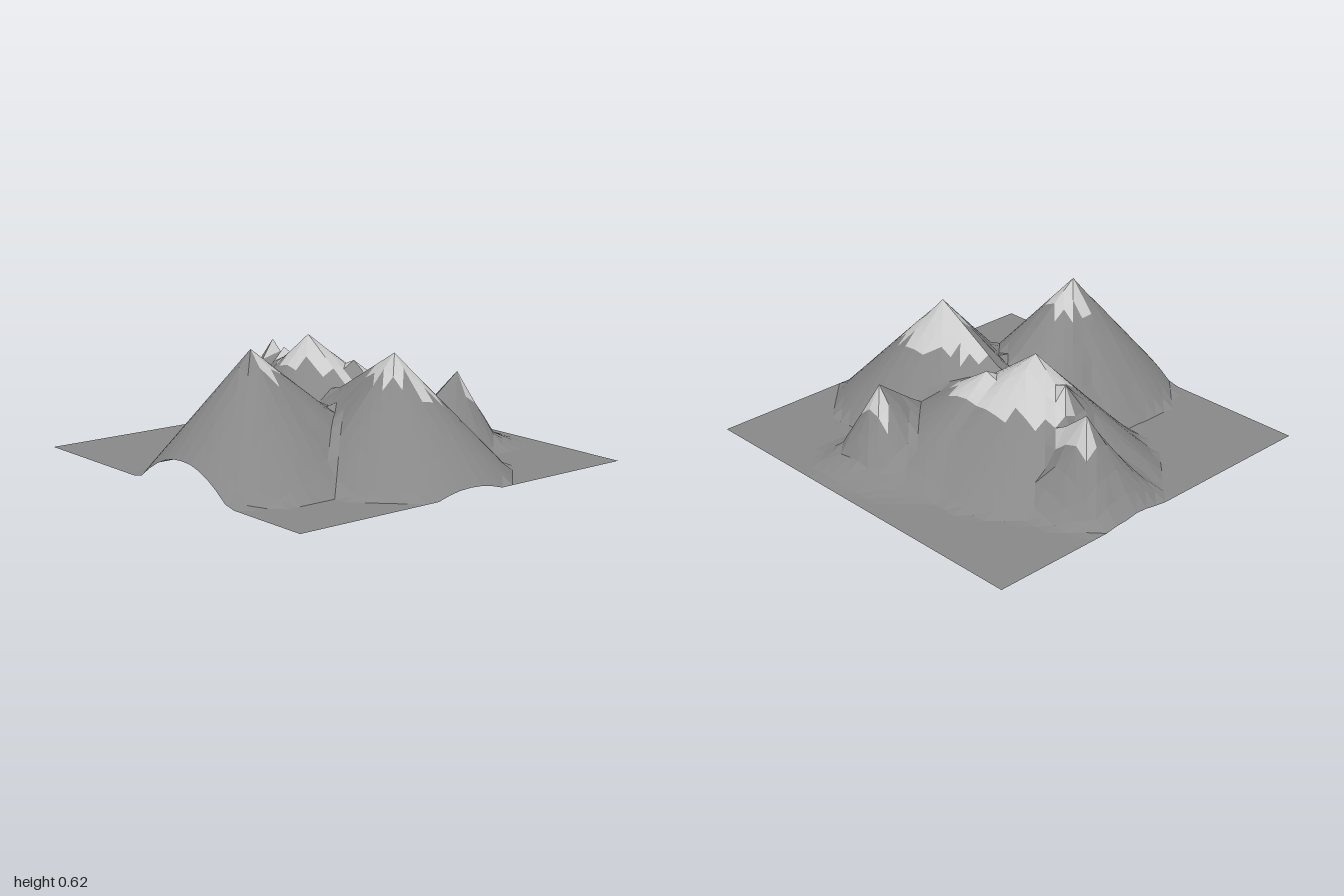
import * as THREE from 'three';

const N = 30;           // grid cells per side
const DEPTH = 0.993;    // half depth of the ground sheet

// A peak has a position, height, steepness curve, snow line, and foot radii
// in evenly spaced directions, turning from +x towards +z.
const peak = (x, z, h, p, snow, r) => ({ x: snap(x), z: snap(z) * DEPTH, h, p, snow, r });

// Summits sit on grid points so they stay sharp
const snap = v => Math.round(v * N / 2) / (N / 2);

const frontMountain = peak(0.13, 0.6, 0.62, 1, 0.52,
  [0.53, 0.53, 0.53, 0.52, 0.53, 0.53, 0.53, 0.58, 0.82, 0.82, 0.7, 0.55]);
const eastMountain = peak(0.46, 0, 0.58, 1, 0.41,
  [0.565, 0.57, 0.55, 0.54, 0.5, 0.6, 1.0, 0.68, 0.56, 0.54, 0.56, 0.57]);
const centralMountain = peak(-0.27, -0.07, 0.56, 1.05, 0.36,
  [0.8, 0.6, 0.54, 0.54, 0.56, 0.64, 0.64, 0.61, 0.62, 0.65, 0.74, 0.76]);
const shoulder = peak(-0.47, -0.1, 0.465, 1.1, 0.36,
  [1.5, 0.6, 0.5, 0.5, 0.42, 0.3, 0.24, 0.35, 0.48, 0.5, 0.5, 0.6]);
const saddle = peak(-0.04, -0.2, 0.44, 1.05, 0.35,
  [0.7, 0.4, 0.45, 0.6, 0.55, 0.6]);
const westPeak = peak(-0.73, -0.2, 0.455, 1.4, 0.33,
  [0.75, 0.38, 0.38, 0.4, 0.4, 0.34, 0.29, 0.3, 0.28, 0.3, 0.36, 0.38]);
const westFoot = peak(-0.73, -0.13, 0.12, 1.2, Infinity,
  [0.3, 0.42, 0.36, 0.27, 0.28, 0.38]);
const rearPeak = peak(0.27, -0.6, 0.385, 1.05, 0.28,
  [0.22, 0.24, 0.3, 0.54, 0.36, 0.34, 0.32, 0.3, 0.27, 0.24, 0.24, 0.22]);
const rearFoot = peak(0.27, -0.6, 0.17, 1.4, Infinity,
  [0.22, 0.45, 0.6, 0.6, 0.4, 0.36]);

const peaks = [frontMountain, eastMountain, centralMountain, shoulder, saddle,
  westPeak, westFoot, rearPeak, rearFoot];

// Height of one cone-like peak, its foot radius blended between directions
function peakHeight({ x: px, z: pz, h, p, r }, x, z) {
  const dx = x - px, dz = z - pz;
  const turn = (Math.atan2(dz, dx) / (Math.PI * 2) + 1) * r.length;
  const i = Math.floor(turn);
  const foot = THREE.MathUtils.lerp(r[i % r.length], r[(i + 1) % r.length], turn - i);
  const t = Math.hypot(dx, dz) / foot;
  return t >= 1 ? 0 : h * Math.pow(1 - t, p);
}

// The terrain is the highest peak at every point
function terrain(x, z) {
  let y = 0, top = null;
  for (const k of peaks) {
    const h = peakHeight(k, x, z);
    if (h > y) { y = h; top = k; }
  }
  return { y, top };
}

export function createModel() {
  const group = new THREE.Group();
  group.name = 'mountainRange';

  // Sample the ground sheet
  const points = [];
  for (let j = 0; j <= N; j++) {
    for (let i = 0; i <= N; i++) {
      const x = (i / N) * 2 - 1, z = ((j / N) * 2 - 1) * DEPTH;
      points.push(new THREE.Vector3(x, terrain(x, z).y, z));
    }
  }

  // Sort triangles into rock and snow; snow reaches lower on rear slopes
  const rock = [], snow = [];
  const addTriangle = (a, b, c) => {
    const x = (a.x + b.x + c.x) / 3, z = (a.z + b.z + c.z) / 3;
    const { y, top } = terrain(x, z);
    const snowy = top && y > top.snow + (z > top.z ? 0.06 : -0.03);
    const list = snowy ? snow : rock;
    for (const v of [a, b, c]) list.push(v.x, v.y, v.z);
  };

  // Split every cell along its truer diagonal so ridges stay crisp
  for (let j = 0; j < N; j++) {
    for (let i = 0; i < N; i++) {
      const n = j * (N + 1) + i;
      const a = points[n], b = points[n + 1];
      const c = points[n + N + 1], d = points[n + N + 2];
      const mid = terrain((a.x + d.x) / 2, (a.z + d.z) / 2).y;
      if (Math.abs((a.y + d.y) / 2 - mid) < Math.abs((b.y + c.y) / 2 - mid)) {
        addTriangle(a, c, d);
        addTriangle(a, d, b);
      } else {
        addTriangle(a, c, b);
        addTriangle(b, c, d);
      }
    }
  }

  const addSurface = (name, list, color) => {
    const geometry = new THREE.BufferGeometry();
    geometry.setAttribute('position', new THREE.Float32BufferAttribute(list, 3));
    geometry.computeVertexNormals();
    const material = new THREE.MeshStandardMaterial({
      color, flatShading: true, side: THREE.DoubleSide,
    });
    const mesh = new THREE.Mesh(geometry, material);
    mesh.name = name;
    group.add(mesh);
  };
  addSurface('rockAndGround', rock, 0x888888);
  addSurface('snowCaps', snow, 0xdddddd);
  return group;
}
